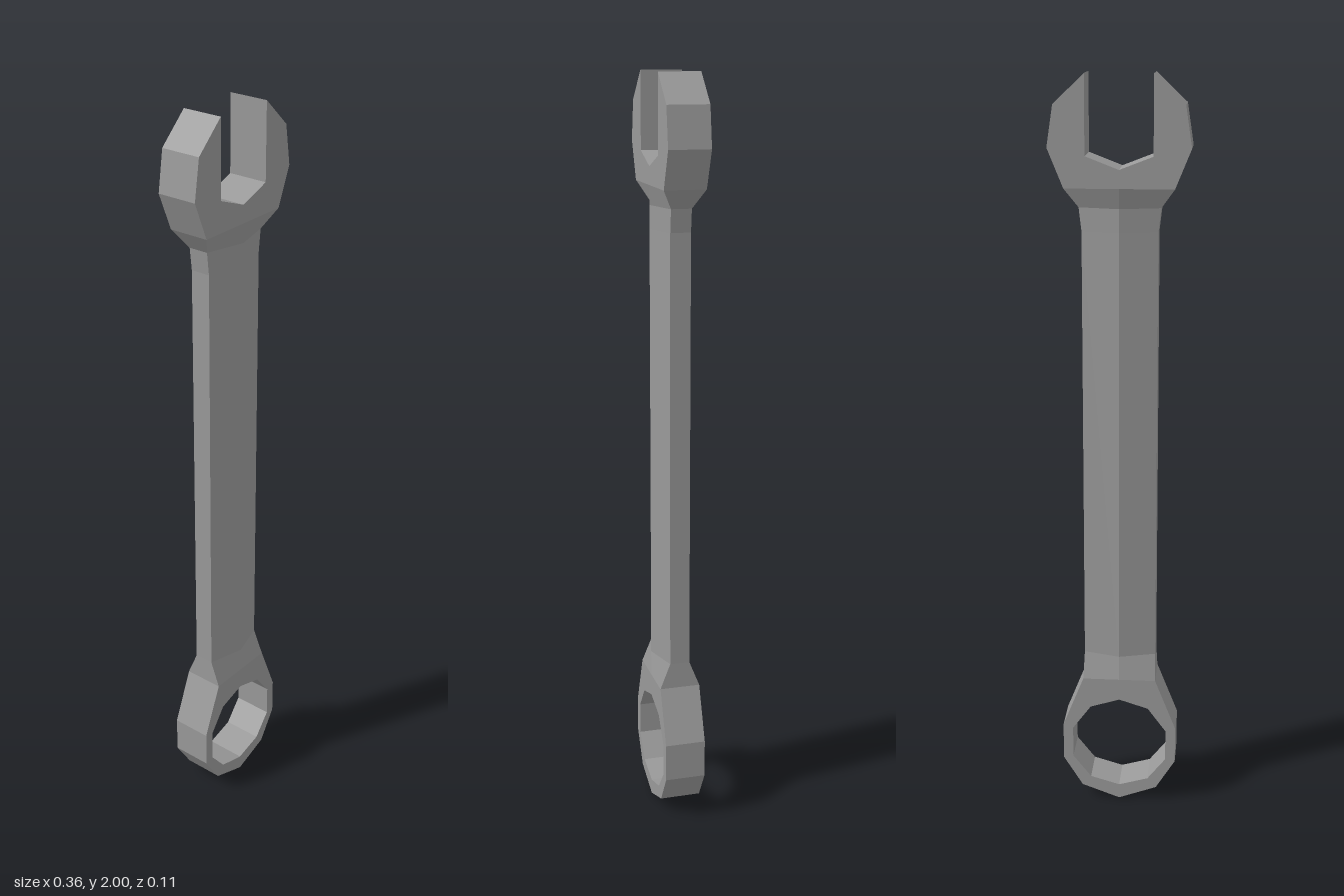
import * as THREE from 'three';

const HALF = 0.055; // half thickness of both ends

const material = new THREE.MeshStandardMaterial({ color: 0x999999 });

// Closed outline from its right half; points on x = 0 are not doubled
function mirrored(half) {
  const left = half.filter(([x]) => x > 0).map(([x, y]) => [-x, y]).reverse();
  return [...half, ...left].map(([x, y]) => new THREE.Vector2(x, y));
}

// Flat plate centred on z = 0
function plate(name, outline, hole) {
  const shape = new THREE.Shape(outline);
  if (hole) shape.holes.push(new THREE.Path(hole));
  const geometry = new THREE.ExtrudeGeometry(shape, { depth: 2 * HALF, bevelEnabled: false });
  geometry.translate(0, 0, -HALF);
  const mesh = new THREE.Mesh(geometry, material);
  mesh.name = name;
  return mesh;
}

// Six-sided shank with a ridge along front and back, lofted through [y, half width, side half depth]
function shank() {
  const sections = [
    [0.37, 0.1, HALF],
    [0.44, 0.098, 0.027],
    [1.61, 0.098, 0.027],
    [1.67, 0.105, 0.027],
    [1.72, 0.14, HALF],
  ].map(([y, w, s]) => [[0, HALF], [w, s], [w, -s], [0, -HALF], [-w, -s], [-w, s]]
    .map(([x, z]) => new THREE.Vector3(x, y, z)));
  const positions = [];
  const normals = [];
  for (let j = 0; j < sections.length - 1; j++) {
    for (let i = 0; i < 6; i++) {
      const k = (i + 1) % 6;
      const a = sections[j][i], b = sections[j][k], c = sections[j + 1][k], d = sections[j + 1][i];
      // one shared normal per four-sided facet, so each shoulder shades as a single face
      const normal = c.clone().sub(a).cross(d.clone().sub(b)).normalize();
      // diagonals run from the ridge at each flat end, so the shoulders slope fully
      const startsOnRidge = i % 3 === 0;
      const corners = startsOnRidge === (j < 2) ? [a, b, c, a, c, d] : [a, b, d, b, c, d];
      for (const corner of corners) {
        positions.push(...corner.toArray());
        normals.push(...normal.toArray());
      }
    }
  }
  const geometry = new THREE.BufferGeometry();
  geometry.setAttribute('position', new THREE.Float32BufferAttribute(positions, 3));
  geometry.setAttribute('normal', new THREE.Float32BufferAttribute(normals, 3));
  const mesh = new THREE.Mesh(geometry, material);
  mesh.name = 'shank';
  return mesh;
}

export function createModel() {
  const group = new THREE.Group();
  group.name = 'wrench';

  // Open jaw with its V-bottomed slot
  group.add(plate('openJaw', mirrored([
    [0.14, 1.72], [0.181, 1.82], [0.165, 1.925], [0.086, 2], [0.086, 1.8], [0, 1.767],
  ])));

  group.add(shank());

  // Ring end with a ten-sided hole
  group.add(plate('ringEnd',
    mirrored([[0, 0], [0.104, 0.038], [0.157, 0.123], [0.157, 0.226], [0.1, 0.37]]),
    mirrored([[0, 0.042], [0.08, 0.065], [0.13, 0.128], [0.13, 0.216], [0.08, 0.284], [0, 0.309]])));

  return group;
}
